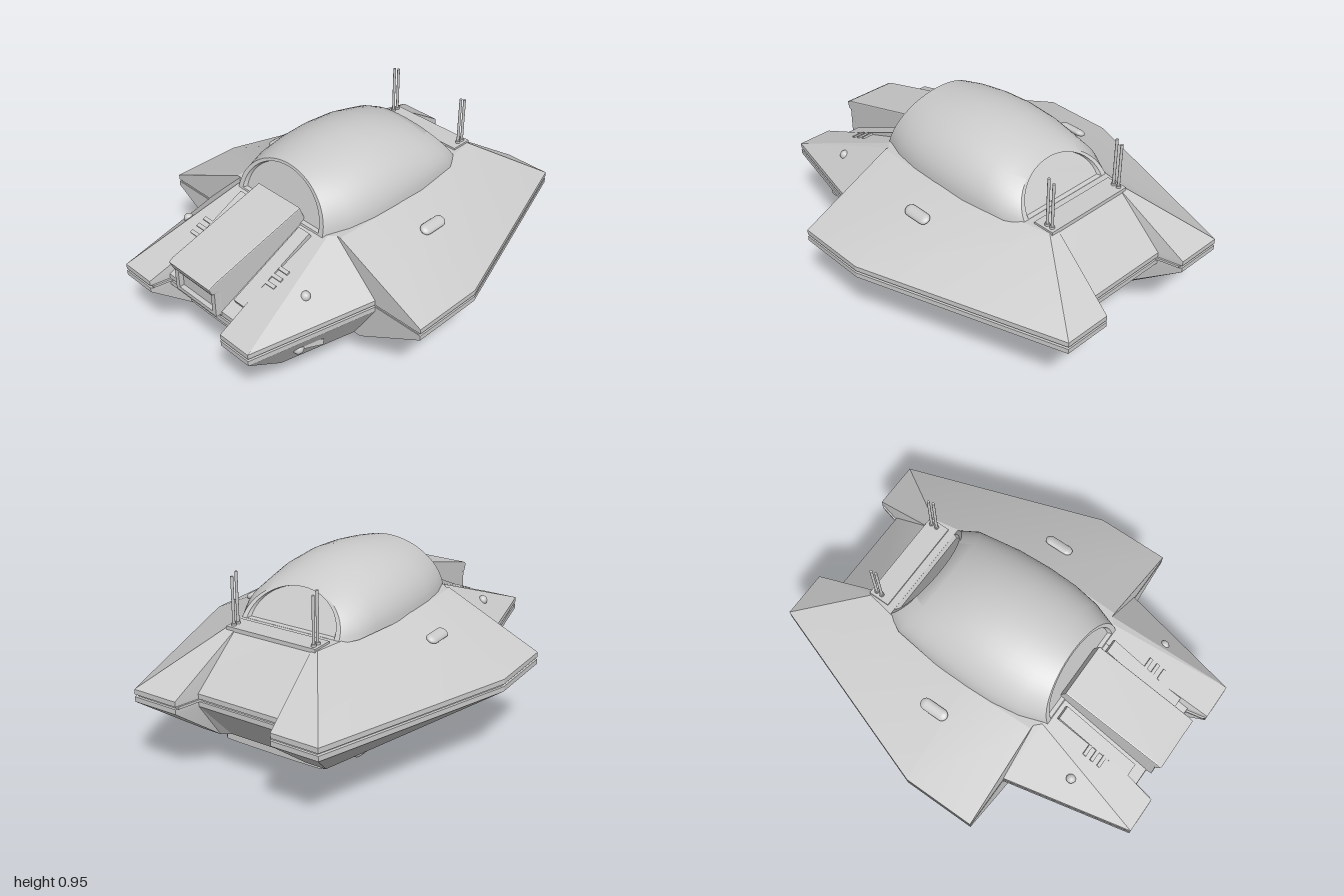
import * as THREE from 'three';
import { toCreasedNormals } from 'three/addons/utils/BufferGeometryUtils.js';

const grey = new THREE.MeshStandardMaterial({ color: 0xcccccc });

// Skin closed rings of [x, y, z] points and cap both ends.
function loft(rings, crease) {
  const n = rings[0].length, pos = [], idx = [];
  rings.forEach(r => r.forEach(p => pos.push(...p)));
  for (let k = 0; k < rings.length - 1; k++) {
    for (let i = 0; i < n; i++) {
      const a = k * n + i, b = k * n + (i + 1) % n;
      idx.push(a, b, b + n, a, b + n, a + n);
    }
  }
  [[0, true], [rings.length - 1, false]].forEach(([k, flip]) => {
    const c = pos.length / 3;
    pos.push(...[0, 1, 2].map(j => rings[k].reduce((s, p) => s + p[j], 0) / n));
    for (let i = 0; i < n; i++) {
      const a = k * n + i, b = k * n + (i + 1) % n;
      idx.push(c, flip ? b : a, flip ? a : b);
    }
  });
  const g = new THREE.BufferGeometry();
  g.setAttribute('position', new THREE.Float32BufferAttribute(pos, 3));
  g.setIndex(idx);
  return toCreasedNormals(g, crease);
}

// Plan outline from a right-hand half listed front to back, at height y.
function outline(half, y, inset = 0) {
  const h = half.map(([x, z]) => [x - inset, y, z * (1 - inset)]);
  return [...h, ...h.slice().reverse().map(([x, yy, z]) => [-x, yy, z])];
}

export function createModel() {
  const model = new THREE.Group();
  const add = (name, geo, x = 0, y = 0, z = 0, rx = 0, ry = 0, rz = 0) => {
    const m = new THREE.Mesh(geo, grey);
    m.name = name;
    m.position.set(x, y, z);
    m.rotation.set(rx, ry, rz);
    model.add(m);
    return m;
  };
  const box = (w, h, d) => new THREE.BoxGeometry(w, h, d);
  const capsule = (r, len) => new THREE.CapsuleGeometry(r, len - 2 * r, 6, 16).rotateX(Math.PI / 2);

  // Hull: wedge above and below a split rim, with notches at nose and tail
  const rim = [[0.23, 0.9], [0.25, 1], [0.43, 1], [0.57, 0.37], [0.84, 0.37], [0.84, 0], [0.5, -1], [0.26, -1], [0.23, -0.88]];
  const deck = [[0.17, 0.4], [0.2, 0.4], [0.3, 0.4], [0.33, 0.37], [0.35, 0.37], [0.36, 0], [0.25, -0.64], [0.22, -0.64], [0.2, -0.64]];
  const floor = [[0.2, 0.73], [0.22, 0.75], [0.35, 0.75], [0.44, 0.37], [0.48, 0.37], [0.48, 0], [0.35, -0.73], [0.24, -0.73], [0.2, -0.7]];
  add('hull', loft([
    outline(floor, 0.185), outline(rim, 0.395), outline(rim, 0.42),
    outline(rim, 0.42, 0.012), outline(rim, 0.432, 0.012),
    outline(rim, 0.432), outline(rim, 0.457), outline(deck, 0.69)
  ], 0.25));

  // Canopy: arched sections from back to front, with recessed windows
  const arch = ([zBase, zTop, w, top], scale = 1, dz = 0) => {
    const pts = [], mid = 0.79;
    for (let i = 0; i <= 28; i++) {
      const a = Math.PI * i / 28, s = Math.sin(a);
      const y = mid + (0.68 + (top - 0.68) * s - mid) * scale;
      const f = (y - 0.68) / (top - 0.68);
      pts.push([w * Math.cos(a) * scale, y, zBase + (zTop - zBase) * f + dz]);
    }
    return pts;
  };
  const back = [-0.51, -0.385, 0.27, 0.865], front = [0.42, 0.35, 0.285, 0.915];
  add('canopy', loft([
    arch(back, 0.86, 0.018), arch(back, 0.9), arch(back),
    ...[[-0.42, -0.33, 0.32, 0.89], [-0.3, -0.25, 0.335, 0.915], [-0.18, -0.15, 0.35, 0.94],
      [0, 0, 0.357, 0.953], [0.15, 0.14, 0.352, 0.945], [0.29, 0.26, 0.33, 0.93]].map(s => arch(s)),
    arch(front), arch(front, 0.9), arch(front, 0.86, -0.018)
  ], 0.6));

  // Nose housing with an open intake frame
  const side = new THREE.Shape([
    [0.36, 0.62], [0.42, 0.765], [0.93, 0.622], [0.95, 0.61], [0.938, 0.58],
    [0.9, 0.575], [0.9, 0.44], [0.8, 0.42]
  ].map(p => new THREE.Vector2(...p)));
  add('noseHousing', new THREE.ExtrudeGeometry(side, {
    depth: 0.27, bevelEnabled: true, bevelSize: 0.006, bevelThickness: 0.006, bevelSegments: 2
  }).rotateY(-Math.PI / 2), 0.135);
  const rect = (C, w, h) => new C([[-w, -h], [w, -h], [w, h], [-w, h]].map(p => new THREE.Vector2(...p)));
  const frame = rect(THREE.Shape, 0.14, 0.065);
  frame.holes.push(rect(THREE.Path, 0.115, 0.045));
  add('intakeFrame', new THREE.ExtrudeGeometry(frame, { depth: 0.03, bevelEnabled: false }), 0, 0.51, 0.9);

  // Lower bumper bar in the nose notch
  add('bumper', box(0.4, 0.025, 0.06), 0, 0.275, 0.79);
  add('bumperStep', box(0.4, 0.02, 0.06), 0, 0.215, 0.745);

  // Belly pod: shallow rounded keel
  const keel = [[-0.65, 0.27, 0.005], [-0.63, 0.29, 0.012], [-0.45, 0.31, 0.03], [-0.2, 0.315, 0.055],
    [0, 0.315, 0.064], [0.2, 0.315, 0.052], [0.45, 0.305, 0.03], [0.63, 0.285, 0.012], [0.65, 0.27, 0.005]];
  add('bellyPod', loft(keel.map(([z, w, d]) => {
    const ring = [[w, 0.2, z], [-w, 0.2, z]];
    for (let i = 0; i <= 20; i++) {
      const a = Math.PI * (1 + i / 20);
      ring.push([w * Math.cos(a), 0.122 + d * Math.sin(a), z]);
    }
    return ring;
  }), 0.6));
  [-0.1, -0.04].forEach(z => add('keelRib', capsule(0.02, 0.36).rotateY(Math.PI / 2), 0, 0.076, z));

  // Tail plate carrying the antennas
  add('tailPlate', box(0.49, 0.02, 0.11), 0, 0.69, -0.595);

  for (const s of [1, -1]) {
    // Paired antennas
    [-0.595, -0.625].forEach((z, i) => {
      const h = i ? 0.24 : 0.255;
      add('antenna', new THREE.CylinderGeometry(0.007, 0.007, h, 10), s * 0.22, 0.695 + h / 2, z);
      add('antennaFoot', new THREE.CylinderGeometry(0.012, 0.012, 0.012, 10), s * 0.22, 0.705, z);
    });
    // Landing skids and their struts
    [0.143, -0.217].forEach(z => {
      add('skid', capsule(0.038, 0.21), s * 0.22, 0.038, z);
      add('skidStrut', box(0.03, 0.07, 0.1), s * 0.22, 0.08, z);
    });
    // Pipe swellings along the belly
    [0.4, 0.27, 0.14, 0.01, -0.12, -0.25].forEach(z =>
      add('bellySwelling', capsule(0.028, 0.11), s * 0.3, 0.135, z));
    // Wing vent
    add('wingVent', capsule(0.03, 0.15).scale(1, 0.55, 1), s * 0.52, 0.622, -0.065, 0, 0, -s * 0.45);
    // Nose fenders beside the housing, with slatted vents
    add('noseFender', box(0.07, 0.04, 0.44), s * 0.2, 0.585, 0.64, 0.44);
    [0.63, 0.67, 0.71].forEach(z =>
      add('ventSlat', box(0.06, 0.022, 0.018), s * 0.26, 0.695 - (z - 0.4) * 0.42, z, 0.4));
    add('noseKnob', new THREE.SphereGeometry(0.024, 12, 8), s * 0.405, 0.55, 0.64);
    // Fittings on the lower hull
    add('sideBox', box(0.08, 0.04, 0.19), s * 0.585, 0.255, 0.17);
    add('noseFitting', box(0.04, 0.03, 0.11), s * 0.435, 0.3, 0.64, -0.25, -s * 0.2);
    add('noseFittingCap', new THREE.SphereGeometry(0.028, 12, 8), s * 0.425, 0.3, 0.71);
  }
  return model;
}
